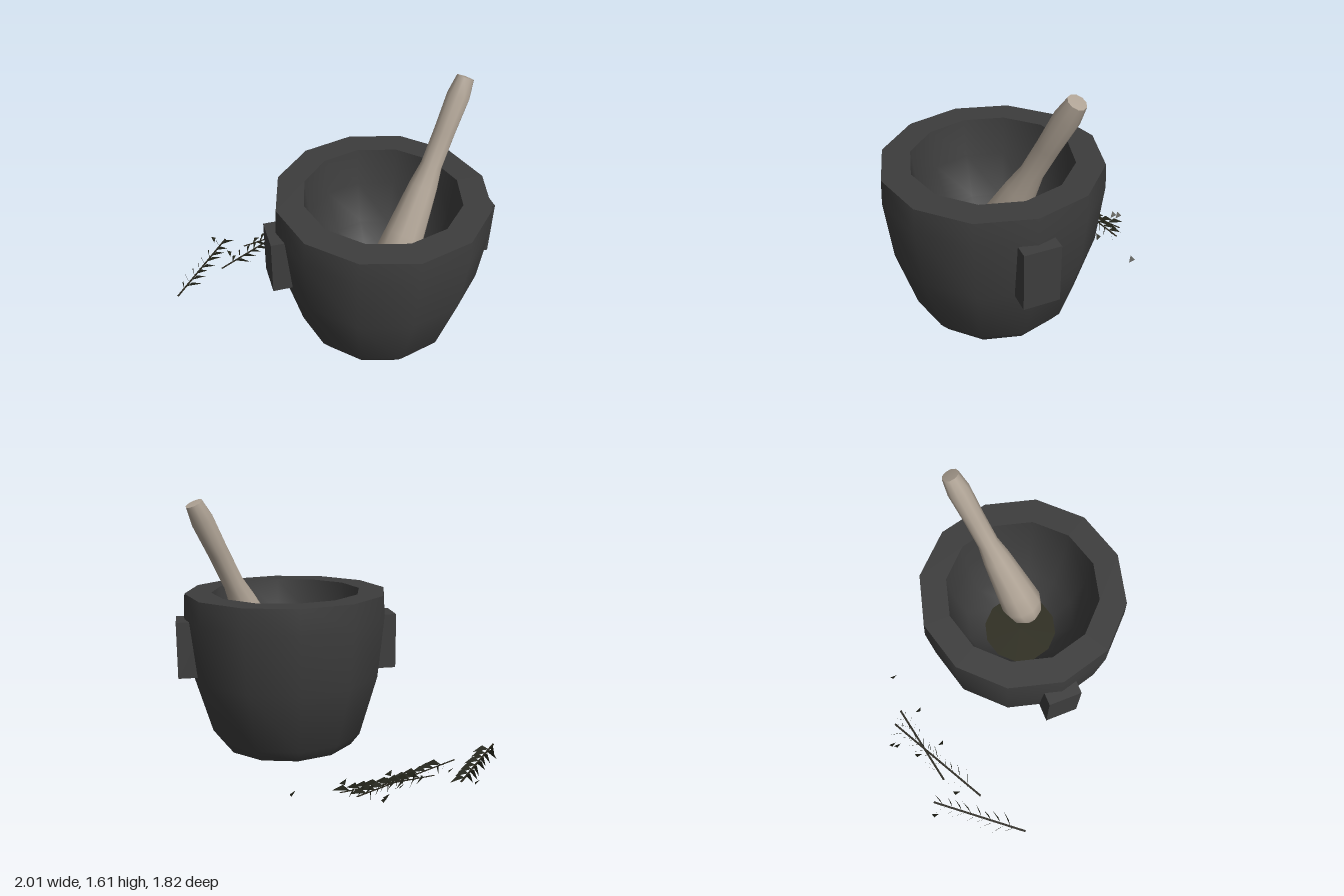
import * as THREE from 'three';
import { toCreasedNormals } from 'three/addons/utils/BufferGeometryUtils.js';

const stone = new THREE.MeshStandardMaterial({ color: 0x3d3d3d });
stone.name = 'darkStone';
const wood = new THREE.MeshStandardMaterial({ color: 0xaea294 });
wood.name = 'paleWood';
const paste = new THREE.MeshStandardMaterial({ color: 0x2e2d20 });
paste.name = 'groundHerbs';
const leafMat = new THREE.MeshStandardMaterial({ color: 0x26271c, side: THREE.DoubleSide });
leafMat.name = 'driedLeaf';
const stemMat = new THREE.MeshStandardMaterial({ color: 0x29261d, side: THREE.DoubleSide });
stemMat.name = 'driedStem';

const V = (x, y, z) => new THREE.Vector3(x, y, z);

function add(parent, name, geometry, material) {
  const mesh = new THREE.Mesh(geometry, material);
  mesh.name = name;
  parent.add(mesh);
  return mesh;
}

function lathe(profile, sides) {
  const points = profile.map(([r, y]) => new THREE.Vector2(r, y));
  return toCreasedNormals(new THREE.LatheGeometry(points, sides), 0.72);
}

function triangles(corners) {
  const g = new THREE.BufferGeometry().setFromPoints(corners);
  g.computeVertexNormals();
  return g;
}

// Twelve-sided bowl with two lugs
function buildMortar() {
  const mortar = new THREE.Group();
  mortar.name = 'mortar';
  mortar.position.set(0.285, 0, 0.245);
  add(mortar, 'bowl', lathe([
    [0, 0], [0.445, 0], [0.505, 0.08], [0.622, 0.48], [0.663, 0.86], [0.655, 1.01],
    [0.485, 1.01], [0.455, 0.77], [0.37, 0.5], [0.245, 0.35], [0, 0.35],
  ], 12), stone);
  const disc = add(mortar, 'groundHerbs', new THREE.CylinderGeometry(0.25, 0.245, 0.008, 12), paste);
  disc.position.y = 0.356;
  for (const s of [-1, 1]) {
    const lug = add(mortar, s > 0 ? 'leftLug' : 'rightLug', new THREE.BoxGeometry(0.19, 0.365, 0.215), stone);
    lug.position.set(s * 0.62, 0.662, 0);
  }
  return mortar;
}

// Leaning pestle, profile runs from the grinding end up to the handle
function buildPestle(parent) {
  const top = V(0.86, 1.592, 0.015);
  const axis = V(0.26, 0.58, -0.155).normalize();
  const pestle = add(parent, 'pestle', lathe([
    [0, -1.33], [0.075, -1.32], [0.12, -1.26], [0.14, -1.17], [0.125, -1.03],
    [0.09, -0.71], [0.067, -0.57], [0.066, -0.35], [0.071, -0.12], [0.054, -0.005], [0, 0],
  ], 10), wood);
  pestle.position.copy(top);
  pestle.quaternion.setFromUnitVectors(V(0, 1, 0), axis);
}

// One upright sliver of a leaf, pointing along angle a on the ground
function leaf(base, a, length, height, spread) {
  const dir = V(Math.cos(a), 0, Math.sin(a));
  const side = V(-dir.z, 0, dir.x);
  const crest = base.clone().addScaledVector(dir, length * 0.4).addScaledVector(side, spread);
  crest.y += height;
  const tip = base.clone().addScaledVector(dir, length);
  tip.y -= 0.008;
  return [base.clone(), tip, crest];
}

// Flat ribbon stem with alternating leaves
function buildSprig(name, x0, z0, x1, z1, count) {
  const sprig = new THREE.Group();
  sprig.name = name;
  const a = V(x0, 0.03, z0), b = V(x1, 0.03, z1);
  const dir = b.clone().sub(a).normalize();
  const w = V(-dir.z, 0, dir.x).multiplyScalar(0.007);
  const p = [a.clone().sub(w), a.clone().add(w), b.clone().add(w), b.clone().sub(w)];
  add(sprig, 'stem', triangles([p[0], p[1], p[2], p[0], p[2], p[3]]), stemMat);
  const heading = Math.atan2(dir.z, dir.x);
  const corners = [];
  for (let i = 0; i < count; i++) {
    for (const s of [-1, 1]) {
      const t = 0.12 + (0.84 * (i + (s > 0 ? 0.4 : 0))) / count;
      const turn = s * (0.72 + 0.14 * Math.sin(i * 2.3 + s));
      const length = 0.1 + 0.015 * Math.sin(i * 1.7 + s);
      corners.push(...leaf(a.clone().lerp(b, t), heading + turn, length, 0.03, s * 0.006));
    }
  }
  add(sprig, 'leaves', triangles(corners), leafMat);
  return sprig;
}

export function createModel() {
  const model = new THREE.Group();
  model.name = 'mortarAndPestle';
  model.add(buildMortar());
  buildPestle(model);

  model.add(buildSprig('outerSprig', -1, -0.23, -0.58, -0.75, 8));
  model.add(buildSprig('middleSprig', -0.66, -0.43, 0.05, -0.82, 10));
  model.add(buildSprig('innerSprig', -0.46, -0.63, 0.13, -0.75, 8));

  // Loose leaves scattered on the ground
  const spots = [[0.4, -0.74], [-0.56, -0.6], [0.08, -0.65], [-0.08, -0.91], [-0.65, -0.79],
    [-0.21, -0.58], [-0.1, -0.88], [-0.21, -0.76]];
  const corners = spots.flatMap(([x, z], i) => leaf(V(x, 0.025, z), 1.5 + 0.5 * Math.sin(i * 2.1), 0.05, 0.025, 0.028));
  add(model, 'looseLeaves', triangles(corners), leafMat);
  return model;
}
